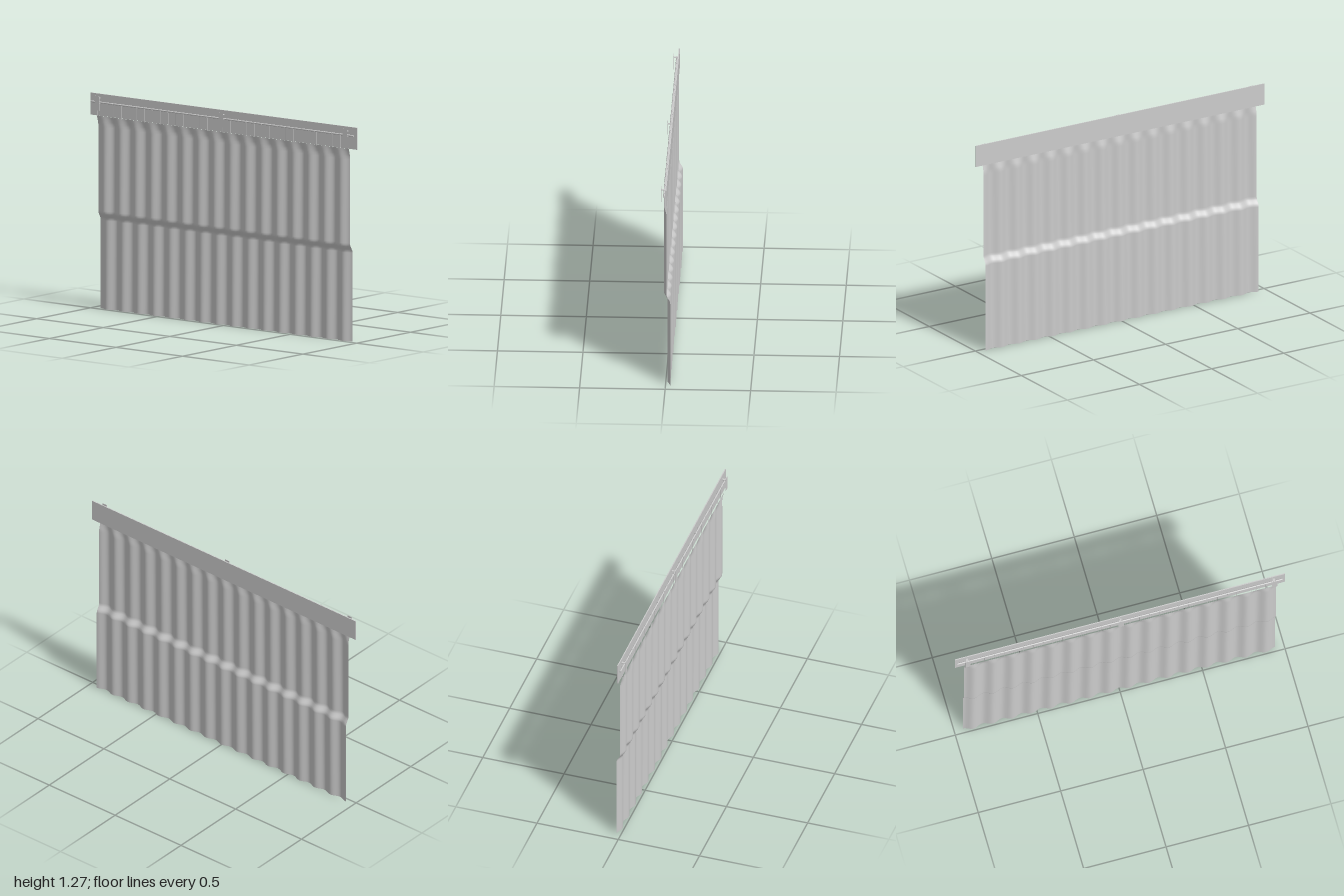
import * as THREE from 'three';

const material = new THREE.MeshStandardMaterial({ color: 0xcccccc, side: THREE.DoubleSide });
const WIDTH = 1.892, TOP = 1.146, WAVES = 16;
const ROD_Y = 1.226, ROD_Z = 0.008;

function add(parent, geometry, name, x = 0, y = 0, z = 0) {
  const mesh = new THREE.Mesh(geometry, material);
  mesh.name = name;
  mesh.position.set(x, y, z);
  parent.add(mesh);
  return mesh;
}

// Rows of the sheet: [height, centre z, wave amplitude]
const ROWS = [
  [0, -0.019, 0.009], [0.27, -0.019, 0.009], [0.525, -0.019, 0.009], [0.536, -0.018, 0.009],
  [0.546, -0.0125, 0.009], [0.555, -0.007, 0.009], [0.565, -0.001, 0.009], [0.574, 0.0025, 0.009],
  [0.585, 0.003, 0.009], [0.84, 0.003, 0.009], [1.08, 0.003, 0.009], [1.098, 0.0032, 0.0086],
  [1.112, 0.0042, 0.0062], [1.128, 0.0054, 0.0033], [1.138, 0.0062, 0.0014], [TOP, 0.0068, 0.0002],
];

// Corrugated sheet that is gathered flat at the top and steps back at mid height
function curtainGeometry() {
  const columns = WAVES * 12;
  const geometry = new THREE.PlaneGeometry(WIDTH, 1, columns, ROWS.length - 1);
  const position = geometry.attributes.position;
  for (let i = 0; i < position.count; i++) {
    const column = i % (columns + 1);
    const [y, centre, amplitude] = ROWS[ROWS.length - 1 - Math.floor(i / (columns + 1))];
    const wave = -Math.cos((column / columns) * WAVES * Math.PI * 2);
    position.setXYZ(i, position.getX(i), y, centre + amplitude * wave);
  }
  geometry.computeVertexNormals();
  return geometry;
}

export function createModel() {
  const model = new THREE.Group();
  model.name = 'curtainOnRail';

  // Backing board and curtain
  add(model, new THREE.BoxGeometry(2, 0.13, 0.006), 'backingBoard', 0, 1.21, -0.004);
  add(model, curtainGeometry(), 'curtain');

  // Rod
  const rod = add(model, new THREE.CylinderGeometry(0.005, 0.005, 1.97, 12), 'rod', -0.004, ROD_Y, ROD_Z);
  rod.rotation.z = Math.PI / 2;

  // Wire hangers between rod and curtain
  const hangers = new THREE.Group();
  hangers.name = 'hangers';
  model.add(hangers);
  const wire = new THREE.CylinderGeometry(0.001, 0.001, ROD_Y - TOP + 0.004, 6);
  const ring = new THREE.TorusGeometry(0.0058, 0.0009, 5, 12);
  const count = WAVES * 2;
  for (let i = 0; i <= count; i++) {
    const x = (i / count - 0.5) * (WIDTH - 0.012);
    add(hangers, wire, 'hangerWire', x, (ROD_Y + TOP) / 2 - 0.002, 0.007);
    add(hangers, ring, 'hangerRing', x, ROD_Y, ROD_Z).rotation.y = Math.PI / 2;
  }

  // Brackets: front plate, arm to the board and rod support
  for (const x of [-0.93, 0, 0.93]) {
    const bracket = new THREE.Group();
    bracket.name = 'bracket';
    bracket.position.x = x;
    model.add(bracket);
    add(bracket, new THREE.BoxGeometry(0.033, 0.086, 0.002), 'frontPlate', 0, 1.222, 0.025);
    add(bracket, new THREE.BoxGeometry(0.012, 0.004, 0.026), 'arm', 0, 1.25, 0.012);
    add(bracket, new THREE.BoxGeometry(0.012, 0.003, 0.012), 'rodSupport', 0, 1.22, 0.005);
  }
  return model;
}
